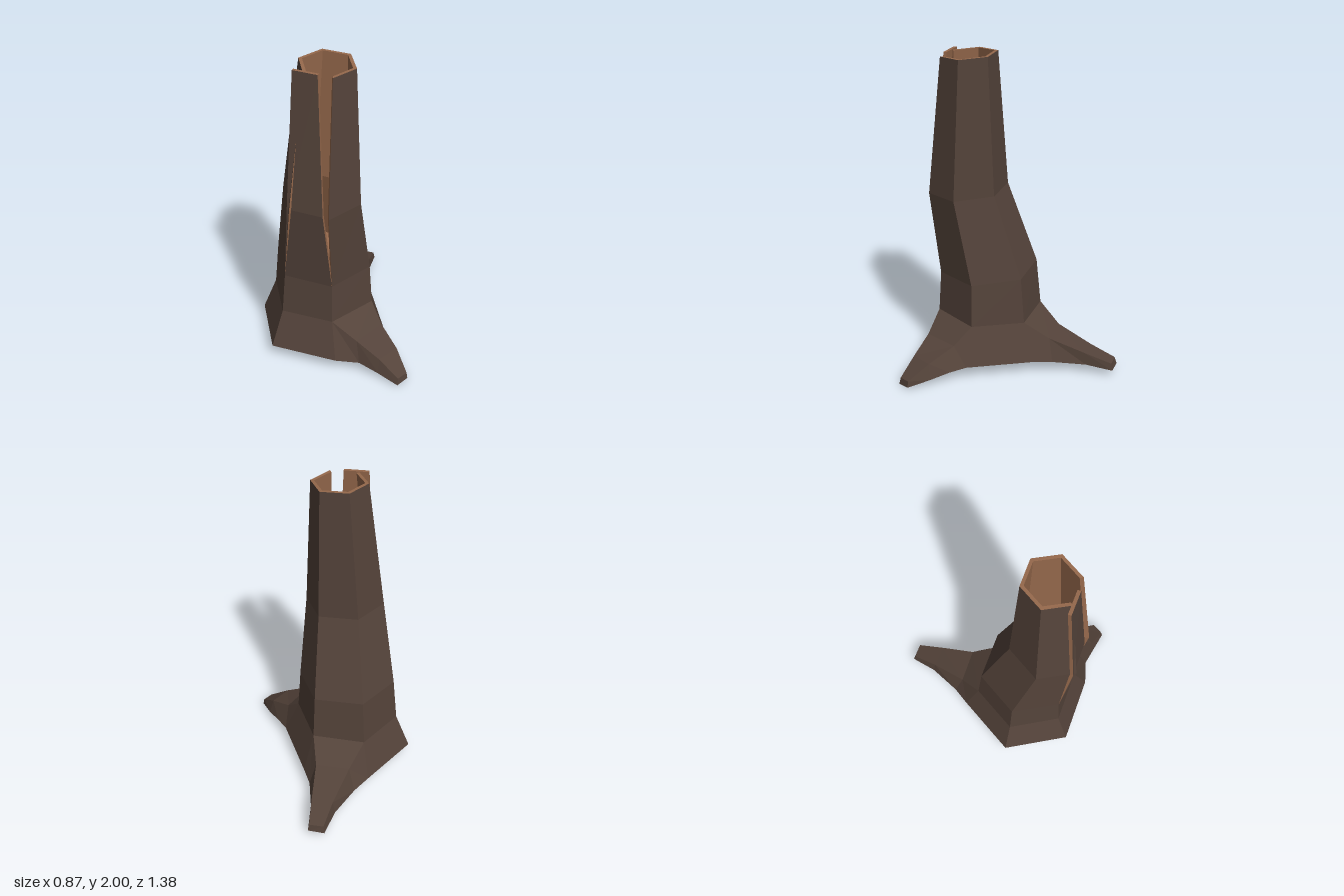
import * as THREE from 'three';

// Flat-shaded mesh from quads whose corners run counter-clockwise
function quadMesh(name, quads, material) {
  const pos = [];
  for (const [a, b, c, d] of quads) for (const p of [a, b, c, a, c, d]) pos.push(...p);
  const g = new THREE.BufferGeometry();
  g.setAttribute('position', new THREE.Float32BufferAttribute(pos, 3));
  g.computeVertexNormals();
  const m = new THREE.Mesh(g, material);
  m.name = name;
  return m;
}

// Tilted hexagon, corner 0 at the front, going round by way of +x
function hexRing({ x, z, r, y, tilt }, scale = 1) {
  return Array.from({ length: 6 }, (_, i) => {
    const a = i * Math.PI / 3;
    return [x + r * scale * Math.sin(a), y - tilt * Math.cos(a), z + r * scale * Math.cos(a)];
  });
}

// Outward-facing walls between stacked rings, for the first `sides` sides
function walls(rings, sides) {
  const quads = [];
  for (let k = 0; k + 1 < rings.length; k++)
    for (let i = 0; i < sides; i++) {
      const j = (i + 1) % 6, lo = rings[k], hi = rings[k + 1];
      quads.push([lo[i], lo[j], hi[j], hi[i]]);
    }
  return quads;
}

// Root lofted through sections of [topLeft, topRight, bottomRight, bottomLeft]
function rootQuads(sections) {
  const quads = [];
  for (let s = 0; s + 1 < sections.length; s++)
    for (let k = 0; k < 4; k++) {
      const j = (k + 1) % 4, near = sections[s], far = sections[s + 1];
      quads.push([far[k], far[j], near[j], near[k]]);
    }
  quads.push([...sections[sections.length - 1]].reverse());
  return quads;
}

export function createModel() {
  const group = new THREE.Group();
  const bark = new THREE.MeshStandardMaterial({ color: 0x54433a, flatShading: true });
  const wood = new THREE.MeshStandardMaterial({ color: 0x96694c, flatShading: true, side: THREE.DoubleSide });

  const levels = [
    { x: -0.062, z: 0.055, r: 0.43, y: 0.08, tilt: 0 },
    { x: -0.065, z: 0.055, r: 0.335, y: 0.318, tilt: 0 },
    { x: -0.064, z: 0.062, r: 0.312, y: 0.6, tilt: 0.02 },
    { x: -0.093, z: 0.185, r: 0.25, y: 1.13, tilt: 0.02 },
    { x: -0.055, z: 0.178, r: 0.175, y: 1.987, tilt: 0.013 },
  ];
  const outer = levels.map((l) => hexRing(l));
  const inner = levels.map((l) => hexRing(l, 0.87));
  const [base, flare, waist, , top] = outer;

  // Closed stump below, five-sided trunk above with the split side left open
  group.add(quadMesh('trunkBase', [
    ...walls(outer.slice(0, 3), 6),
    [base[3], base[2], base[1], base[0]],
    [base[0], base[5], base[4], base[3]],
  ], bark));
  group.add(quadMesh('trunk', walls(outer.slice(2), 5), bark));

  // Hollow: inner walls, floor, rim and the cut edges along the split
  const hollow = walls(inner.slice(2), 5).map((q) => q.reverse());
  hollow.push([waist[0], waist[1], waist[2], waist[3]], [waist[3], waist[4], waist[5], waist[0]]);
  for (let i = 0; i < 5; i++) hollow.push([top[i], top[i + 1], inner[4][i + 1], inner[4][i]]);
  for (const i of [0, 5])
    for (let k = 2; k < 4; k++) {
      const q = [outer[k][i], outer[k + 1][i], inner[k + 1][i], inner[k][i]];
      hollow.push(i ? q.reverse() : q);
    }
  group.add(quadMesh('hollow', hollow, wood));

  // Split plank hinged on the waist, standing slightly loose of the trunk
  const plank = [
    [waist[5], waist[0]],
    [[-0.32, 1.12, 0.288], [-0.124, 1.11, 0.4]],
    [[-0.265, 1.99, 0.243], [-0.134, 1.985, 0.322]],
  ];
  const back = plank.map((row) => row.map(([x, y, z]) => [x + 0.01, y, z - 0.018]));
  const barkSide = [], woodSide = [];
  for (let k = 0; k < 2; k++) {
    const [a, b] = plank[k], [d, c] = plank[k + 1];
    const [e, f] = back[k], [h, g] = back[k + 1];
    barkSide.push([a, b, c, d]);
    woodSide.push([f, e, h, g], [b, f, g, c], [e, a, d, h]);
  }
  woodSide.push([plank[2][0], plank[2][1], back[2][1], back[2][0]]);
  group.add(quadMesh('plankBark', barkSide, bark), quadMesh('plankWood', woodSide, wood));

  // Two roots growing from the flared sides
  group.add(quadMesh('frontRoot', rootQuads([
    [flare[0], flare[1], base[1], base[0]],
    [[0.075, 0.215, 0.48], [0.265, 0.215, 0.34], [0.335, 0.07, 0.38], [0.085, 0.07, 0.52]],
    [[0.2, 0.135, 0.585], [0.33, 0.14, 0.505], [0.36, 0.045, 0.5], [0.19, 0.04, 0.605]],
    [[0.3, 0.045, 0.68], [0.365, 0.05, 0.64], [0.37, 0.01, 0.645], [0.295, 0, 0.69]],
  ]), bark));
  group.add(quadMesh('backRoot', rootQuads([
    [flare[2], flare[3], base[3], base[2]],
    [[0.26, 0.21, -0.27], [0.07, 0.21, -0.375], [0.055, 0.065, -0.435], [0.31, 0.068, -0.28]],
    [[0.355, 0.14, -0.475], [0.24, 0.135, -0.55], [0.23, 0.055, -0.565], [0.365, 0.06, -0.485]],
    [[0.425, 0.085, -0.635], [0.345, 0.085, -0.68], [0.345, 0.04, -0.695], [0.435, 0.04, -0.64]],
  ]), bark));

  return group;
}
